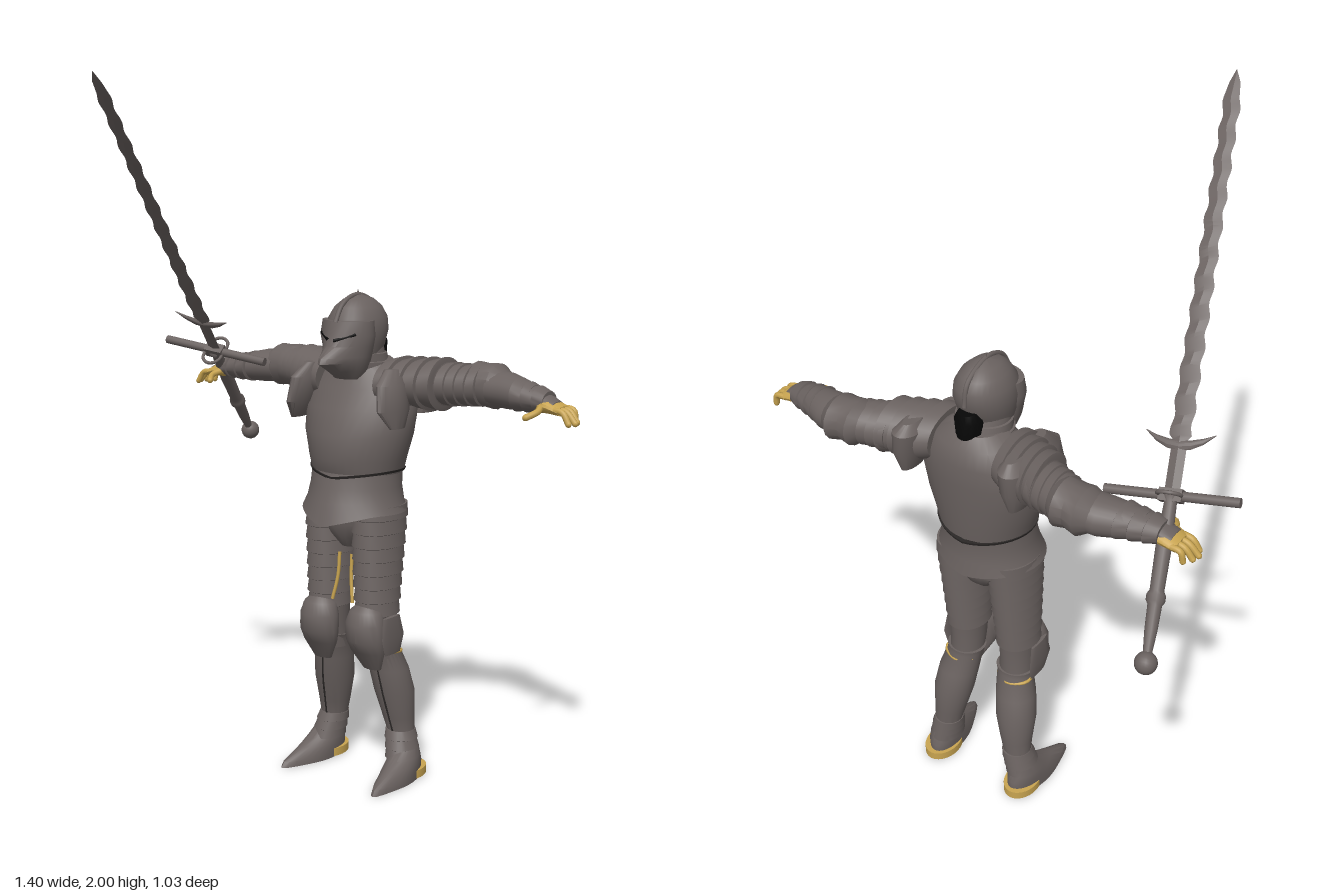
import * as THREE from 'three';
import { toCreasedNormals } from 'three/addons/utils/BufferGeometryUtils.js';

const mat = (name, color) => Object.assign(new THREE.MeshStandardMaterial({ color }), { name });

// Skin over cross-sections: [t, u, halfU, zMin, zMax, frontKeel].
// axis 'y': t = y, u = x.  axis 'x': t = x, u = y.
function loft(rings, axis = 'y', n = 28, crease = 0.6, warp) {
  const pos = [], idx = [];
  const add = (t, u, z) => {
    const p = axis === 'y' ? new THREE.Vector3(u, t, z) : new THREE.Vector3(t, u, z);
    if (warp) warp(p);
    pos.push(p.x, p.y, p.z);
  };
  for (const [t, u, ru, z0, z1, keel = 0] of rings)
    for (let i = 0; i < n; i++) {
      const a = i / n * Math.PI * 2, s = Math.sin(a);
      add(t, u + ru * Math.cos(a), (z0 + z1) / 2 + (z1 - z0) / 2 * s + keel * Math.max(0, s) ** 6);
    }
  const m = rings.length, last = rings[m - 1];
  add(rings[0][0], rings[0][1], (rings[0][3] + rings[0][4]) / 2);
  add(last[0], last[1], (last[3] + last[4]) / 2);
  for (let i = 0; i < n; i++) {
    const j = (i + 1) % n;
    for (let k = 0; k < m - 1; k++) {
      const a = k * n + i, b = k * n + j;
      idx.push(a, a + n, b, b, a + n, b + n);
    }
    idx.push(m * n, i, j, m * n + 1, (m - 1) * n + j, (m - 1) * n + i);
  }
  // Turn the faces outward, whichever way the sections ran
  let vol = 0;
  const v = k => new THREE.Vector3().fromArray(pos, idx[k] * 3);
  for (let k = 0; k < idx.length; k += 3) vol += v(k).dot(v(k + 1).cross(v(k + 2)));
  if (vol < 0) idx.reverse();
  const g = new THREE.BufferGeometry();
  g.setAttribute('position', new THREE.Float32BufferAttribute(pos, 3));
  g.setIndex(idx);
  return toCreasedNormals(g, crease);
}

// Overlapping plates between two cross-sections: each one flares, then steps back in
function lames(from, to, count, flare) {
  const out = [];
  const at = (f, grow) => {
    const r = from.map((v, i) => v + (to[i] - v) * f);
    return [r[0], r[1], r[2] + grow, r[3] - grow, r[4] + grow];
  };
  for (let i = 0; i < count; i++) out.push(at(i / count, 0), at((i + 0.93) / count, flare));
  out.push(at(1, 0));
  return out;
}

const tube = (pts, r, seg = 12) => new THREE.TubeGeometry(
  new THREE.CatmullRomCurve3(pts.map(p => new THREE.Vector3(...p))), seg, r, 8);

export function createModel() {
  const steel = mat('dark steel', 0x6a6260), gold = mat('gold', 0xc8a450);
  const black = mat('black', 0x070707), seam = mat('dark seam', 0x2b2827);
  const root = new THREE.Group(), knight = new THREE.Group();
  knight.name = 'armouredFigure';
  knight.position.x = 0.03;
  root.add(knight);
  const put = (name, geo, m = steel, parent = knight) => {
    const mesh = new THREE.Mesh(geo, m);
    mesh.name = name;
    parent.add(mesh);
    return mesh;
  };

  // Torso
  put('breastplate', loft([
    [0.91, 0, 0.137, -0.33, -0.09], [0.95, 0, 0.148, -0.335, -0.085, 0.01], [1.02, 0, 0.17, -0.34, -0.09, 0.008],
    [1.09, 0, 0.177, -0.345, -0.11, 0.006], [1.15, 0, 0.162, -0.345, -0.135], [1.2, 0, 0.12, -0.335, -0.155],
    [1.23, 0, 0.075, -0.31, -0.165]], 'y', 36));
  put('waistSeam', loft([[0.915, 0, 0.14, -0.334, -0.086], [0.922, 0, 0.143, -0.336, -0.084]], 'y', 36, 0.6,
    p => { p.y -= 0.02 * Math.max(0, 1 - Math.abs(p.x) / 0.14); }), seam);
  put('skirt', loft([[0.915, 0, 0.136, -0.325, -0.09], [0.87, 0, 0.138, -0.32, -0.085, 0.006],
    [0.83, 0, 0.146, -0.325, -0.075, 0.012], [0.8, 0, 0.158, -0.333, -0.06, 0.018]], 'y', 36, 0.6, p => {
    if (p.y < 0.82) p.y -= (p.z > -0.2 ? 0.035 : 0.018) * Math.max(0, 1 - Math.abs(p.x) / 0.13);
  }));
  put('pelvis', loft([[0.84, 0, 0.13, -0.3, -0.11], [0.76, 0, 0.13, -0.3, -0.115],
    [0.72, 0, 0.07, -0.28, -0.13], [0.69, 0, 0.03, -0.25, -0.15]]));
  put('gorget', loft(lames([1.2, 0, 0.09, -0.305, -0.15], [1.27, 0, 0.066, -0.27, -0.15], 3, 0.005)));

  // Helmet with pointed visor
  put('helmetBowl', loft([
    [1.18, 0, 0.058, -0.255, -0.14], [1.23, 0, 0.066, -0.265, -0.125], [1.27, 0, 0.078, -0.285, -0.115],
    [1.31, 0, 0.083, -0.3, -0.108], [1.345, 0, 0.077, -0.3, -0.112], [1.375, 0, 0.06, -0.284, -0.13],
    [1.395, 0, 0.037, -0.26, -0.155], [1.407, 0, 0.008, -0.22, -0.195]], 'y', 32, 1));
  put('visor', loft([
    [1.175, 0, 0.045, -0.2, -0.13], [1.2, 0, 0.06, -0.22, -0.11, 0.03], [1.225, 0, 0.069, -0.22, -0.1, 0.068],
    [1.24, 0, 0.073, -0.22, -0.1, 0.062], [1.27, 0, 0.08, -0.22, -0.103, 0.025],
    [1.3, 0, 0.086, -0.22, -0.1, 0.012], [1.34, 0, 0.08, -0.22, -0.104]], 'y', 32));
  put('crest', tube([[0, 1.335, -0.102], [0, 1.38, -0.13], [0, 1.405, -0.18], [0, 1.402, -0.23],
    [0, 1.37, -0.288], [0, 1.31, -0.302]], 0.007, 24));
  put('finial', new THREE.ConeGeometry(0.009, 0.025, 8)).position.set(0, 1.41, -0.205);
  put('plumeHolder', loft([[1.2, 0, 0.022, -0.31, -0.24], [1.22, 0, 0.036, -0.32, -0.24],
    [1.27, 0, 0.038, -0.322, -0.25], [1.292, 0, 0.026, -0.318, -0.26]], 'y', 16), black);

  for (const s of [-1, 1]) {
    const side = s > 0 ? 'left' : 'right';
    const limb = new THREE.Group();
    limb.name = side + 'Limbs';
    knight.add(limb);
    const part = (name, geo, m) => put(name, geo, m, limb);
    // Sections for one side: legs mirror their centre, arms their length
    const leg = rs => rs.map(([t, u, ...r]) => [t, u * s, ...r]);
    const arm = rs => rs.map(([t, ...r]) => [t * s, ...r]);
    const mirror = ps => ps.map(([x, y, z]) => [x * s, y, z]);

    part('eyeSlit', tube(mirror([[0.008, 1.287, -0.082], [0.035, 1.295, -0.102], [0.06, 1.305, -0.118]]), 0.0045), black);

    // Leg
    part('thighPlates', loft(leg(lames([0.82, 0.083, 0.068, -0.3, -0.11], [0.5, 0.085, 0.055, -0.26, -0.125], 8, 0.006))));
    part('thighStrap', tube(mirror([[0.022, 0.67, -0.155], [0.024, 0.6, -0.15], [0.036, 0.53, -0.14]]), 0.005), gold);
    part('kneeJoint', loft(leg([[0.53, 0.085, 0.055, -0.26, -0.13], [0.45, 0.085, 0.05, -0.255, -0.14], [0.37, 0.088, 0.05, -0.26, -0.16]])));
    part('kneeGuard', loft(leg([[0.538, 0.083, 0.025, -0.18, -0.13], [0.515, 0.083, 0.05, -0.185, -0.104],
      [0.48, 0.083, 0.062, -0.185, -0.093, 0.004], [0.43, 0.084, 0.062, -0.185, -0.095, 0.004],
      [0.395, 0.086, 0.056, -0.18, -0.115], [0.34, 0.09, 0.03, -0.18, -0.15]])));
    part('kneeWing', loft(leg([[0.39, 0.145, 0.006, -0.225, -0.15], [0.44, 0.15, 0.008, -0.235, -0.13],
      [0.5, 0.145, 0.006, -0.22, -0.14]]), 'y', 12));
    part('kneeStrap', tube(mirror([[0.142, 0.39, -0.195], [0.138, 0.385, -0.24], [0.09, 0.38, -0.264], [0.045, 0.385, -0.24]]), 0.005), gold);
    part('greave', loft(leg([[0.41, 0.086, 0.058, -0.262, -0.158], [0.395, 0.087, 0.054, -0.262, -0.168],
      [0.33, 0.1, 0.06, -0.288, -0.177], [0.26, 0.11, 0.06, -0.305, -0.19], [0.18, 0.118, 0.047, -0.306, -0.212],
      [0.11, 0.126, 0.037, -0.302, -0.232], [0.07, 0.132, 0.04, -0.303, -0.225]])));
    part('greaveSeam', tube(mirror([[0.1, 0.34, -0.177], [0.11, 0.26, -0.191], [0.118, 0.18, -0.213], [0.126, 0.11, -0.233]]), 0.003), seam);
    part('ankleCuff', loft(leg(lames([0.14, 0.122, 0.043, -0.308, -0.22], [0.06, 0.138, 0.044, -0.308, -0.2], 3, 0.004))));
    const foot = part('sabaton', loft([[0, 0, 0.047, -0.055, 0.15, 0.052], [0.016, 0, 0.047, -0.058, 0.145, 0.045],
      [0.045, 0, 0.046, -0.055, 0.1, 0.02], [0.065, 0, 0.043, -0.045, 0.07, 0.01], [0.09, 0, 0.034, -0.04, 0.045]], 'y', 28));
    foot.position.set(0.144 * s, 0, -0.265);
    foot.rotation.y = 0.12 * s;
    part('heelSole', loft(leg([[0.002, 0.144, 0.05, -0.336, -0.2], [0.026, 0.144, 0.05, -0.336, -0.2]])), gold);

    // Shoulder and arm
    part('pauldron', loft(arm(lames([0.1, 1.165, 0.065, -0.335, -0.14], [0.245, 1.165, 0.067, -0.37, -0.21], 4, 0.009)), 'x'));
    part('pauldronFrontWing', loft(leg([[1.05, 0.175, 0.012, -0.19, -0.125], [1.1, 0.16, 0.032, -0.22, -0.105, 0.018],
      [1.17, 0.15, 0.035, -0.22, -0.115, 0.018], [1.21, 0.14, 0.02, -0.22, -0.15]])));
    part('pauldronBackWing', loft(leg([[1.08, 0.17, 0.02, -0.355, -0.26], [1.14, 0.17, 0.04, -0.375, -0.26],
      [1.2, 0.165, 0.04, -0.378, -0.26], [1.225, 0.16, 0.02, -0.35, -0.26]])));
    part('upperArmPlates', loft(arm(lames([0.22, 1.165, 0.06, -0.37, -0.215], [0.35, 1.165, 0.053, -0.39, -0.27], 5, 0.005)), 'x'));
    part('elbowGuard', loft(arm([[0.29, 1.168, 0.045, -0.38, -0.27], [0.32, 1.168, 0.064, -0.408, -0.265],
      [0.35, 1.168, 0.06, -0.4, -0.272], [0.385, 1.166, 0.064, -0.41, -0.268], [0.415, 1.163, 0.045, -0.385, -0.275]]), 'x', 16));
    part('forearm', loft(arm([[0.38, 1.163, 0.05, -0.39, -0.267], [0.43, 1.16, 0.05, -0.385, -0.262],
      [0.49, 1.155, 0.042, -0.355, -0.255], [0.53, 1.152, 0.036, -0.335, -0.25]]), 'x'));
    part('gauntletCuff', loft(arm(lames([0.575, 1.148, 0.028, -0.325, -0.248], [0.47, 1.156, 0.042, -0.362, -0.252], 3, 0.005)), 'x'));
    part('palm', loft(arm([[0.55, 1.142, 0.024, -0.32, -0.25], [0.59, 1.138, 0.02, -0.322, -0.24],
      [0.622, 1.128, 0.013, -0.318, -0.243]]), 'x', 16), gold);
    part('handPlate', loft(arm([[0.55, 1.153, 0.02, -0.318, -0.252], [0.58, 1.15, 0.015, -0.315, -0.25],
      [0.605, 1.143, 0.009, -0.308, -0.252]]), 'x', 16));
    for (let i = 0; i < 4; i++) {
      const z = -0.311 + i * 0.02, reach = [0.642, 0.658, 0.664, 0.655][i];
      part('finger', tube(mirror([[0.6, 1.133, z], [0.635, 1.128, z], [reach, 1.1, z + 0.002]]), 0.0085), gold);
      part('fingertip', new THREE.SphereGeometry(0.0085, 8, 6), gold).position.set(reach * s, 1.1, z + 0.002);
    }
    part('thumb', tube(mirror([[0.565, 1.138, -0.26], [0.575, 1.128, -0.225], [0.558, 1.115, -0.195]]), 0.009), gold);
    part('thumbTip', new THREE.SphereGeometry(0.009, 8, 6), gold).position.set(0.558 * s, 1.115, -0.195);
  }

  // Long sword with wavy blade: local y runs from pommel to point
  const sword = new THREE.Group();
  sword.name = 'sword';
  const along = new THREE.Vector3(0.355, 1.085, 1.0).normalize();
  const across = new THREE.Vector3(0.34, -0.045, -0.06);
  across.addScaledVector(along, -across.dot(along)).normalize();
  sword.setRotationFromMatrix(new THREE.Matrix4().makeBasis(across, along, across.clone().cross(along)));
  sword.position.set(-0.62, 0.912, -0.487);
  root.add(sword);
  const blade = [[0.41, 0, 0.02, -0.006, 0.006], [0.55, 0, 0.02, -0.006, 0.006]];
  for (let i = 0; i <= 88; i++) {
    const t = 0.56 + i * 0.01, w = i * 0.01 / 0.078 * Math.PI * 2;
    blade.push([t, 0.003 * Math.sin(w), 0.0265 - 0.005 * i / 88 + 0.002 * Math.cos(w), -0.005, 0.005]);
  }
  blade.push([1.48, 0, 0.015, -0.004, 0.004], [1.515, 0, 0.001, -0.001, 0.001]);
  put('blade', loft(blade, 'y', 4, 0.4), steel, sword);
  put('pommel', new THREE.SphereGeometry(0.029, 20, 14), steel, sword);
  put('grip', new THREE.LatheGeometry([[0.011, 0.02], [0.016, 0.08], [0.018, 0.14], [0.024, 0.15], [0.024, 0.165],
    [0.018, 0.175], [0.02, 0.28], [0.016, 0.39], [0.022, 0.41], [0, 0.42]].map(p => new THREE.Vector2(...p)), 16), steel, sword);
  const guard = put('crossguard', new THREE.CylinderGeometry(0.0125, 0.0125, 0.35, 12), steel, sword);
  guard.rotation.z = Math.PI / 2;
  guard.position.y = 0.41;
  put('guardBlock', new THREE.BoxGeometry(0.06, 0.032, 0.032), steel, sword).position.y = 0.41;
  for (const s of [-1, 1]) {
    const hook = put('parryingHook', loft([[0, 0, 0.012, -0.008, 0.008], [0.03, 0, 0.012, -0.007, 0.007],
      [0.06, 0, 0.008, -0.005, 0.005], [0.09, 0, 0.001, -0.001, 0.001]].map(([t, ...r]) => [t * s, ...r]), 'x', 10, 0.8,
      p => { p.y += 4 * p.x * p.x; }), steel, sword);
    hook.position.y = 0.535;
    const ring = put('sideRing', new THREE.TorusGeometry(0.03, 0.005, 8, 20), steel, sword);
    ring.rotation.x = Math.PI / 2;
    ring.position.set(0, 0.41, 0.02 * s);
  }
  return root;
}
